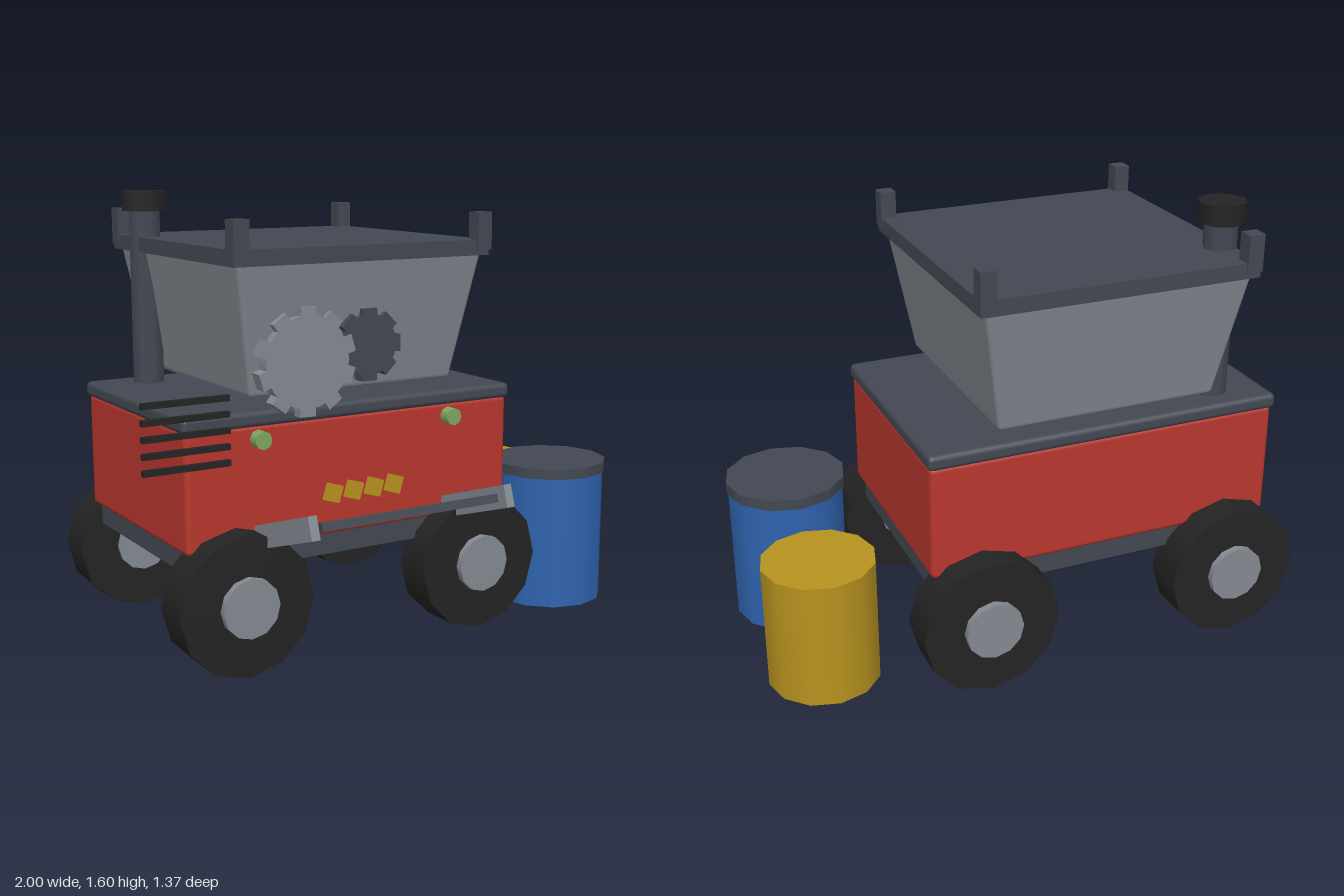
import * as THREE from 'three';
import { RoundedBoxGeometry } from 'three/addons/geometries/RoundedBoxGeometry.js';

const mat = (name, color) => {
  const m = new THREE.MeshStandardMaterial({ color });
  m.name = name;
  return m;
};

export function createModel() {
  const slate = mat('slate', 0x434852);
  const red = mat('red', 0xb9372e);
  const grey = mat('light grey', 0x858a92);
  const black = mat('black', 0x242424);
  const blue = mat('blue', 0x2f64b0);
  const yellow = mat('yellow', 0xb8931f);
  const green = mat('green', 0x7fa862);

  const model = new THREE.Group();
  model.name = 'wagon';

  const add = (name, geometry, material, x, y, z, parent = model) => {
    const mesh = new THREE.Mesh(geometry, material);
    mesh.name = name;
    mesh.position.set(x, y, z);
    parent.add(mesh);
    return mesh;
  };
  // Box given by its lower and upper limits on each axis
  const span = (name, material, [x0, x1], [y0, y1], [z0, z1], radius = 0, parent = model) => {
    const w = x1 - x0, h = y1 - y0, d = z1 - z0;
    const geometry = radius ? new RoundedBoxGeometry(w, h, d, 2, radius) : new THREE.BoxGeometry(w, h, d);
    return add(name, geometry, material, (x0 + x1) / 2, (y0 + y1) / 2, (z0 + z1) / 2, parent);
  };
  // Upright drum standing at height y0
  const drum = (name, material, r, y0, y1, x, z, sides) =>
    add(name, new THREE.CylinderGeometry(r, r, y1 - y0, sides), material, x, (y0 + y1) / 2, z);
  // Disc facing front and back
  const disc = (name, material, r, depth, sides, x, y, z, parent = model) =>
    add(name, new THREE.CylinderGeometry(r, r, depth, sides).rotateX(Math.PI / 2), material, x, y, z, parent);

  // Chassis, body and deck
  span('chassis', slate, [-0.83, 0.45], [0.355, 0.45], [-0.55, 0.28]);
  span('body', red, [-0.845, 0.465], [0.425, 0.85], [-0.562, 0.288], 0.02);
  span('deck', slate, [-0.855, 0.472], [0.84, 0.895], [-0.57, 0.297], 0.018);

  // Wheels with hubs
  for (const x of [-0.668, 0.285]) {
    for (const side of [-1, 1]) {
      const z = -0.141 + side * 0.446;
      disc('tyre', black, 0.25, 0.152, 12, x, 0.255, z);
      disc('hub', grey, 0.105, 0.19, 12, x, 0.255, z + side * 0.007);
    }
  }

  // Hopper: a box whose lower end is drawn in
  const hopper = new RoundedBoxGeometry(0.97, 0.46, 0.976, 2, 0.015);
  const p = hopper.attributes.position;
  for (let i = 0; i < p.count; i++) {
    const s = THREE.MathUtils.lerp(0.836, 1, p.getY(i) / 0.46 + 0.5);
    p.setX(i, p.getX(i) * s);
    p.setZ(i, p.getZ(i) * s);
  }
  hopper.computeVertexNormals();
  add('hopper', hopper, grey, -0.19, 1.164, -0.14);
  span('hopperRim', slate, [-0.695, 0.315], [1.38, 1.435], [-0.64, 0.362]);
  for (const x of [-0.67, 0.29]) {
    for (const z of [-0.617, 0.344]) {
      span('cornerPost', slate, [x - 0.029, x + 0.029], [1.4, 1.532], [z - 0.029, z + 0.029]);
    }
  }

  // Exhaust
  drum('exhaustPipe', slate, 0.06, 0.88, 1.54, -0.652, -0.445, 8);
  drum('exhaustCap', black, 0.086, 1.528, 1.6, -0.652, -0.445, 8);

  // Gears on the hopper front
  const gear = (name, material, r, teeth, x, y, z, turn) => {
    const group = new THREE.Group();
    group.name = name;
    group.position.set(x, y, z);
    group.rotation.z = turn;
    model.add(group);
    disc('gearDisc', material, r, 0.05, teeth * 2, 0, 0, 0, group);
    for (let i = 0; i < teeth; i++) {
      const a = (i / teeth) * Math.PI * 2;
      const tooth = add('gearTooth', new THREE.BoxGeometry(0.06, r * 0.32, 0.05), material,
        Math.cos(a) * r, Math.sin(a) * r, 0, group);
      tooth.rotation.z = a - Math.PI / 2;
    }
  };
  gear('largeGear', grey, 0.16, 10, -0.41, 1.05, 0.312, 0.3);
  gear('smallGear', slate, 0.108, 8, -0.165, 1.09, 0.308, 0);

  // Round lamps on the body front
  for (const x of [-0.577, 0.197]) disc('lamp', green, 0.032, 0.05, 8, x, 0.8, 0.306);

  // Fork prongs
  for (let i = 0; i < 5; i++) {
    const y = 0.735 + i * 0.0545;
    span('forkProng', black, [-1, -0.69], [y - 0.01, y + 0.01], [0.293, 0.313]);
  }

  // Tilted square plates above the chute
  for (let i = 0; i < 4; i++) {
    const plate = add('bodyPlate', new THREE.BoxGeometry(0.06, 0.06, 0.018), yellow, -0.312 + i * 0.083, 0.587, 0.331);
    plate.rotation.z = -0.3;
  }

  // Sloping chute with side rails
  const chute = new THREE.Group();
  chute.name = 'chute';
  chute.position.set(-0.195, 0.62, 0.654);
  chute.rotation.x = -0.314;
  model.add(chute);
  span('chuteTray', slate, [-0.345, 0.35], [-0.056, -0.026], [-0.42, -0.018], 0, chute);
  for (const x of [-0.385, 0.385]) {
    span('chuteRail', grey, [x - 0.016, x + 0.016], [-0.08, 0], [-0.4, 0], 0, chute);
  }

  // Barrels standing beside the wagon
  drum('blueBarrel', blue, 0.216, 0, 0.515, 0.776, 0.17, 12);
  drum('barrelLid', slate, 0.222, 0.51, 0.55, 0.776, 0.17, 12);
  drum('yellowBarrel', yellow, 0.202, 0, 0.465, 0.798, -0.333, 12);

  return model;
}
